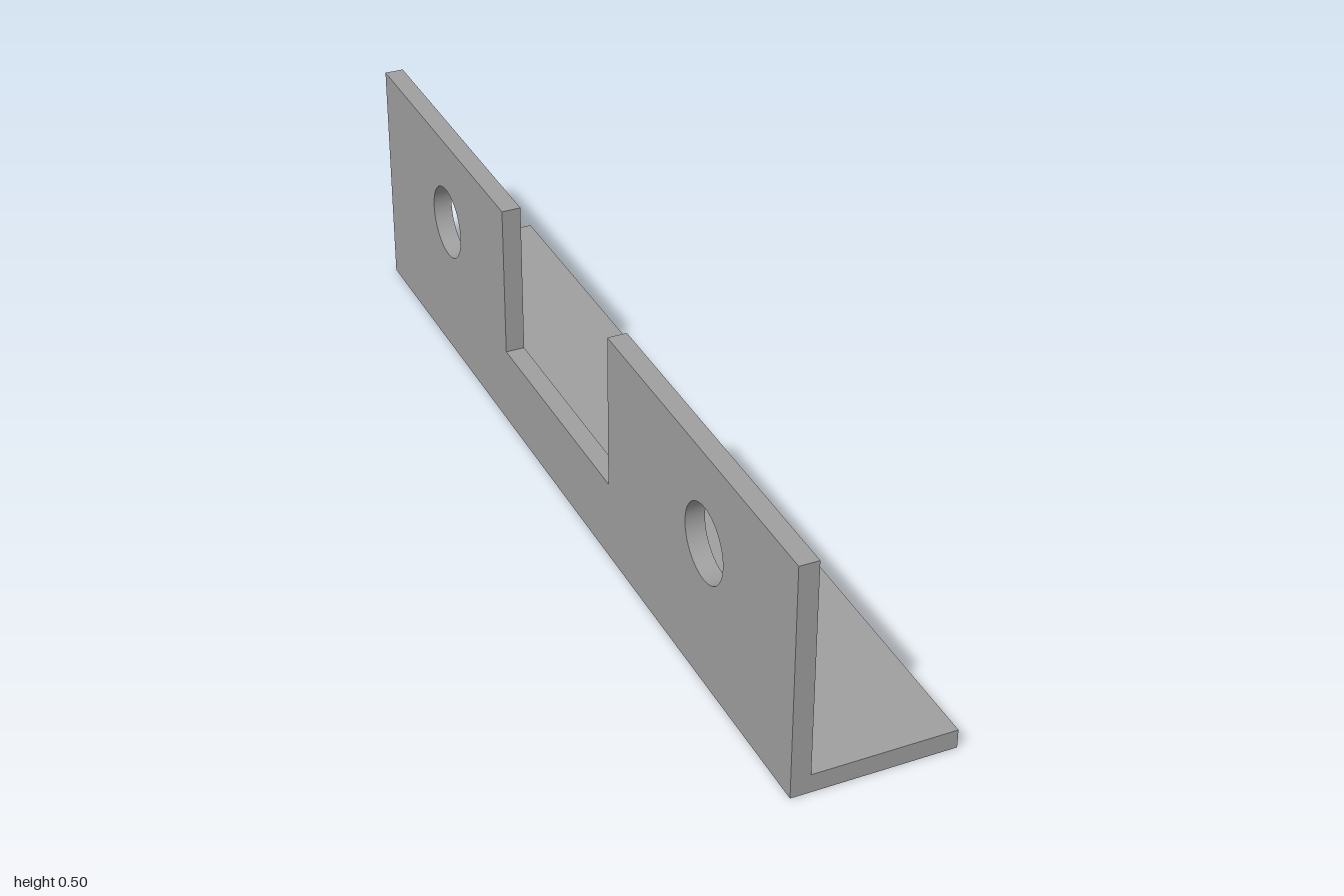
import * as THREE from 'three';
import { toCreasedNormals } from 'three/addons/utils/BufferGeometryUtils.js';

const HALF_LENGTH = 1, HALF_WIDTH = 0.167, THICKNESS = 0.04, HEIGHT = 0.502;
const INNER_X = -HALF_WIDTH + THICKNESS;

export function createModel() {
  const group = new THREE.Group();
  group.name = 'angleBracket';
  const metal = new THREE.MeshStandardMaterial({ color: 0xa0a0a0 });
  metal.name = 'plain grey';

  const add = (name, geometry) => {
    const mesh = new THREE.Mesh(geometry, metal);
    mesh.name = name;
    group.add(mesh);
    return mesh;
  };

  // Upright flange: profile in (z, y) with an off-centre notch
  const profile = new THREE.Shape([
    [-HALF_LENGTH, 0], [HALF_LENGTH, 0], [HALF_LENGTH, HEIGHT], [0.215, HEIGHT],
    [0.215, 0.17], [-0.312, 0.17], [-0.312, HEIGHT], [-HALF_LENGTH, HEIGHT],
  ].map(([z, y]) => new THREE.Vector2(z, y)));

  // Two bolt holes
  for (const side of [-1, 1]) {
    const hole = new THREE.Path();
    hole.absarc(side * 0.64, 0.31, 0.079, 0, Math.PI * 2, true);
    profile.holes.push(hole);
  }

  const upright = new THREE.ExtrudeGeometry(profile, {
    depth: THICKNESS, bevelEnabled: false, curveSegments: 24,
  });
  upright.rotateY(-Math.PI / 2);
  upright.translate(INNER_X, 0, 0);
  add('uprightFlange', toCreasedNormals(upright, 0.6));

  // Flat flange, butting against the upright
  const flatWidth = HALF_WIDTH - INNER_X;
  const flat = add('baseFlange', new THREE.BoxGeometry(flatWidth, THICKNESS, HALF_LENGTH * 2));
  flat.position.set(INNER_X + flatWidth / 2, THICKNESS / 2, 0);

  return group;
}
